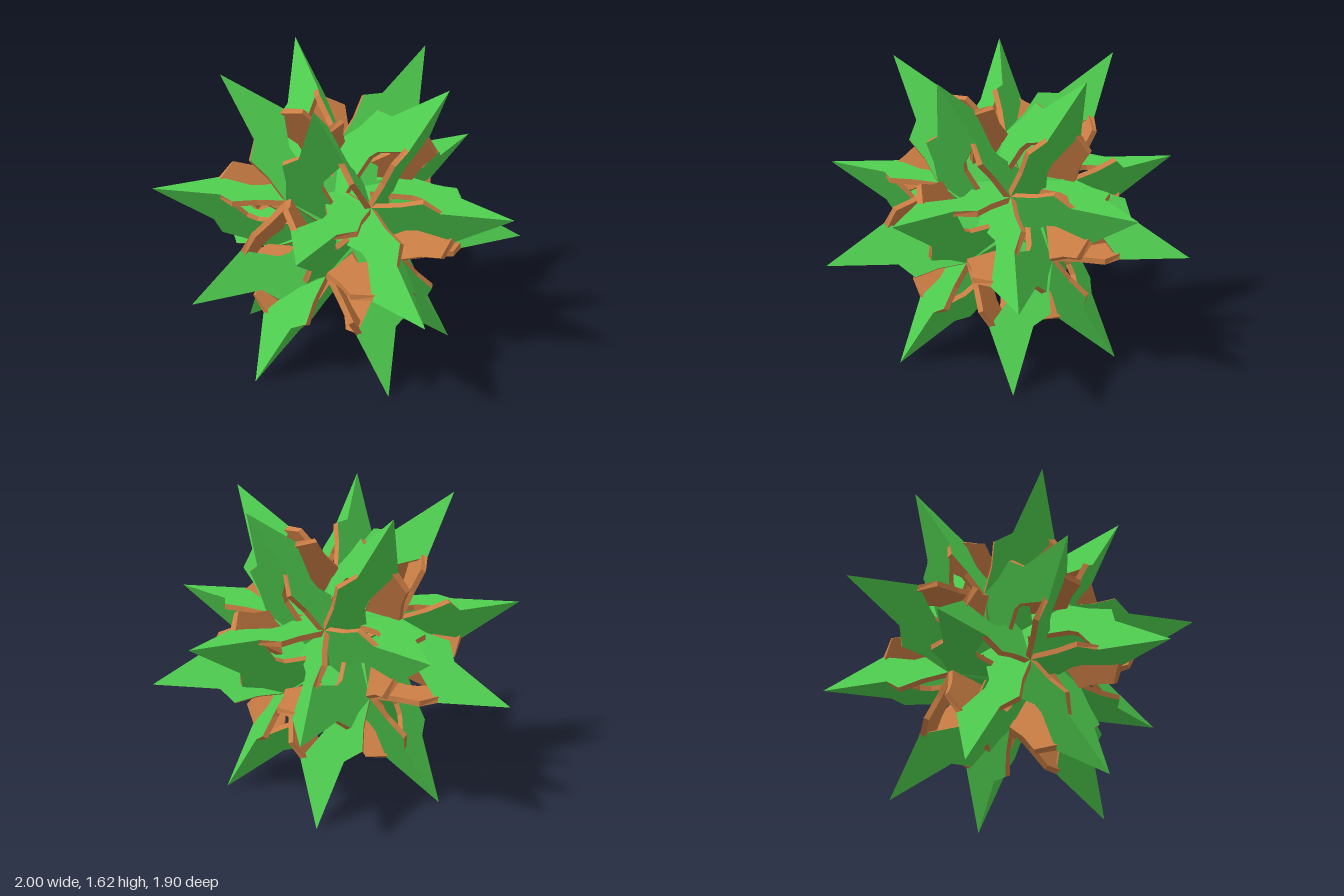
import * as THREE from 'three';

const THICK = 0.03;      // plate thickness
const DIST = 0.191;      // distance of each plate from the centre
const CENTRE_Y = 0.809;

// One hooked arm as [outward, leftward]; the inner outline is mitred at the spike
const NECK = [[0.204, -0.048], [0.42, 0.02], [0.48, 0.01]];
const HOOK = [[0.585, 0.207], [0.455, 0.203], [0.309, 0.2245]];
const OUTER_ARM = [...NECK, [0.645, -0.115], [1, 0], [0.645, 0.115], ...HOOK];
const INNER_ARM = [...NECK, [0.599, -0.079], [0.843, 0], [0.67, 0.056], ...HOOK];

// Repeat an arm five times around the plate
function pinwheel(arm) {
  const pts = [];
  for (let k = 0; k < 5; k++) {
    const a = (k * Math.PI * 2) / 5, c = Math.cos(a), s = Math.sin(a);
    for (const [u, l] of arm) pts.push(new THREE.Vector2(u * c - l * s, u * s + l * c));
  }
  return pts;
}

// Inner face and side walls of a plate, facing away from the green front
function backGeometry(outer, inner) {
  const pos = [];
  const put = (p, z) => pos.push(p.x, p.y, z);
  for (const [a, b, c] of THREE.ShapeUtils.triangulateShape(inner, [])) {
    put(inner[a], -THICK);
    put(inner[c], -THICK);
    put(inner[b], -THICK);
  }
  outer.forEach((p, i) => {
    const j = (i + 1) % outer.length;
    put(inner[i], -THICK); put(inner[j], -THICK); put(outer[j], 0);
    put(inner[i], -THICK); put(outer[j], 0); put(p, 0);
  });
  const g = new THREE.BufferGeometry();
  g.setAttribute('position', new THREE.Float32BufferAttribute(pos, 3));
  g.computeVertexNormals();
  return g;
}

// Twelve plate directions, each with a neighbouring direction to set its turn
function plateDirections() {
  const list = [];
  for (const s of [1, -1]) {
    list.push([new THREE.Vector3(0, s, 0), new THREE.Vector3(s, 0, 0)]);
    for (let k = 0; k < 5; k++) {
      const a = (k * Math.PI * 2) / 5;
      const r = (2 / Math.sqrt(5)) * s;
      list.push([
        new THREE.Vector3(r * Math.cos(a), s / Math.sqrt(5), r * Math.sin(a)),
        new THREE.Vector3(0, s, 0),
      ]);
    }
  }
  return list;
}

export function createModel() {
  const model = new THREE.Group();
  model.name = 'interlockedStarBall';

  const green = new THREE.MeshStandardMaterial({ color: 0x50d050, flatShading: true });
  const brown = new THREE.MeshStandardMaterial({ color: 0xcd7f45, flatShading: true });

  const outer = pinwheel(OUTER_ARM);
  const inner = pinwheel(INNER_ARM);
  const front = new THREE.ShapeGeometry(new THREE.Shape(outer));
  const back = backGeometry(outer, inner);

  plateDirections().forEach(([n, ref], i) => {
    // An arm points directly away from the neighbouring plate
    const u = n.clone().multiplyScalar(n.dot(ref)).sub(ref).normalize();
    const left = n.clone().cross(u);

    const plate = new THREE.Group();
    plate.name = 'starPlate' + (i + 1);
    plate.quaternion.setFromRotationMatrix(new THREE.Matrix4().makeBasis(u, left, n));
    plate.position.copy(n).multiplyScalar(DIST);
    plate.position.y += CENTRE_Y;

    const face = new THREE.Mesh(front, green);
    face.name = 'outerFace';
    const core = new THREE.Mesh(back, brown);
    core.name = 'innerFaceAndEdges';
    plate.add(face, core);
    model.add(plate);
  });
  return model;
}
